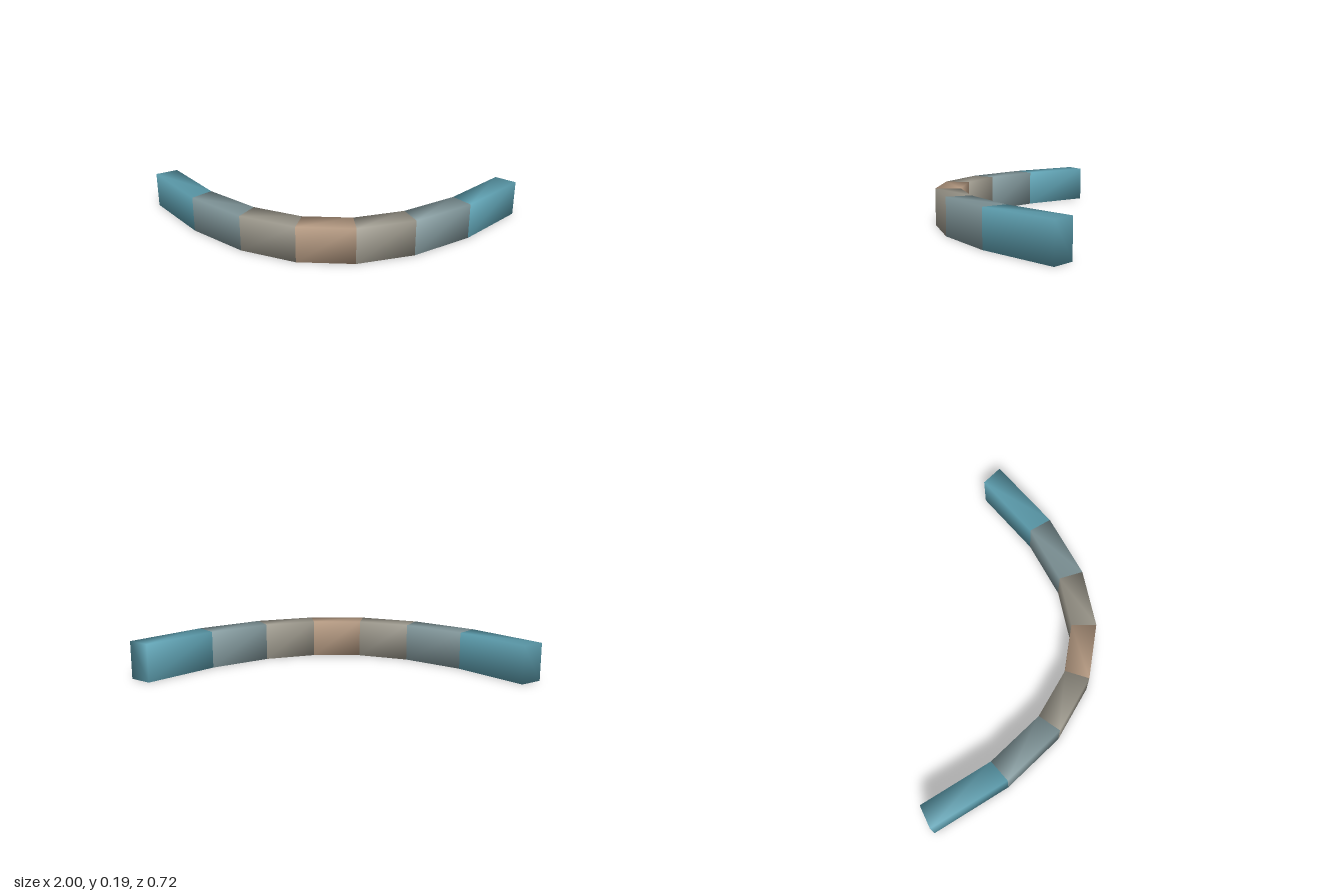
import * as THREE from 'three';

const HEIGHT = 0.19;

// Joint lines of one half, from the end to the middle: outer x, z, inner x, z
const HALF = [
  [1.0, -0.29, 0.9, -0.36],
  [0.72, 0.035, 0.64, -0.06],
  [0.436, 0.25, 0.38, 0.136],
  [0.147, 0.36, 0.127, 0.233],
];

// Closed block between two joint lines, with corners shared for soft shading
function segmentGeometry(a, b) {
  const pos = [];
  for (const [ox, oz, ix, iz] of [a, b]) {
    pos.push(ox, 0, oz, ox, HEIGHT, oz, ix, HEIGHT, iz, ix, 0, iz);
  }
  const index = [];
  const quad = (p, q, r, s) => index.push(p, q, r, p, r, s);
  for (let k = 0; k < 4; k++) {
    const n = (k + 1) % 4;
    quad(k, k + 4, n + 4, n);
  }
  quad(0, 1, 2, 3);
  quad(7, 6, 5, 4);
  const geometry = new THREE.BufferGeometry();
  geometry.setAttribute('position', new THREE.Float32BufferAttribute(pos, 3));
  geometry.setIndex(index);
  geometry.computeVertexNormals();
  return geometry;
}

function material(name, color) {
  const m = new THREE.MeshStandardMaterial({ color });
  m.name = name;
  return m;
}

export function createModel() {
  const group = new THREE.Group();
  group.name = 'curvedBarrier';

  const colours = [
    material('teal', 0x5fa1b2),
    material('blueGrey', 0x83999d),
    material('warmGrey', 0x9c988c),
    material('tan', 0xb59a82),
  ];

  // Mirror the half to get all joints from right to left
  const rightHalf = HALF.map(([ox, oz, ix, iz]) => [-ox, oz, -ix, iz]);
  const joints = [...rightHalf, ...HALF.slice().reverse()];
  const names = ['End', 'Outer', 'Inner'];

  for (let i = 0; i < joints.length - 1; i++) {
    const fromEnd = Math.min(i, 6 - i);
    const mesh = new THREE.Mesh(segmentGeometry(joints[i], joints[i + 1]), colours[fromEnd]);
    mesh.name = i === 3 ? 'middleSegment' : (i < 3 ? 'right' : 'left') + names[fromEnd] + 'Segment';
    group.add(mesh);
  }
  return group;
}
